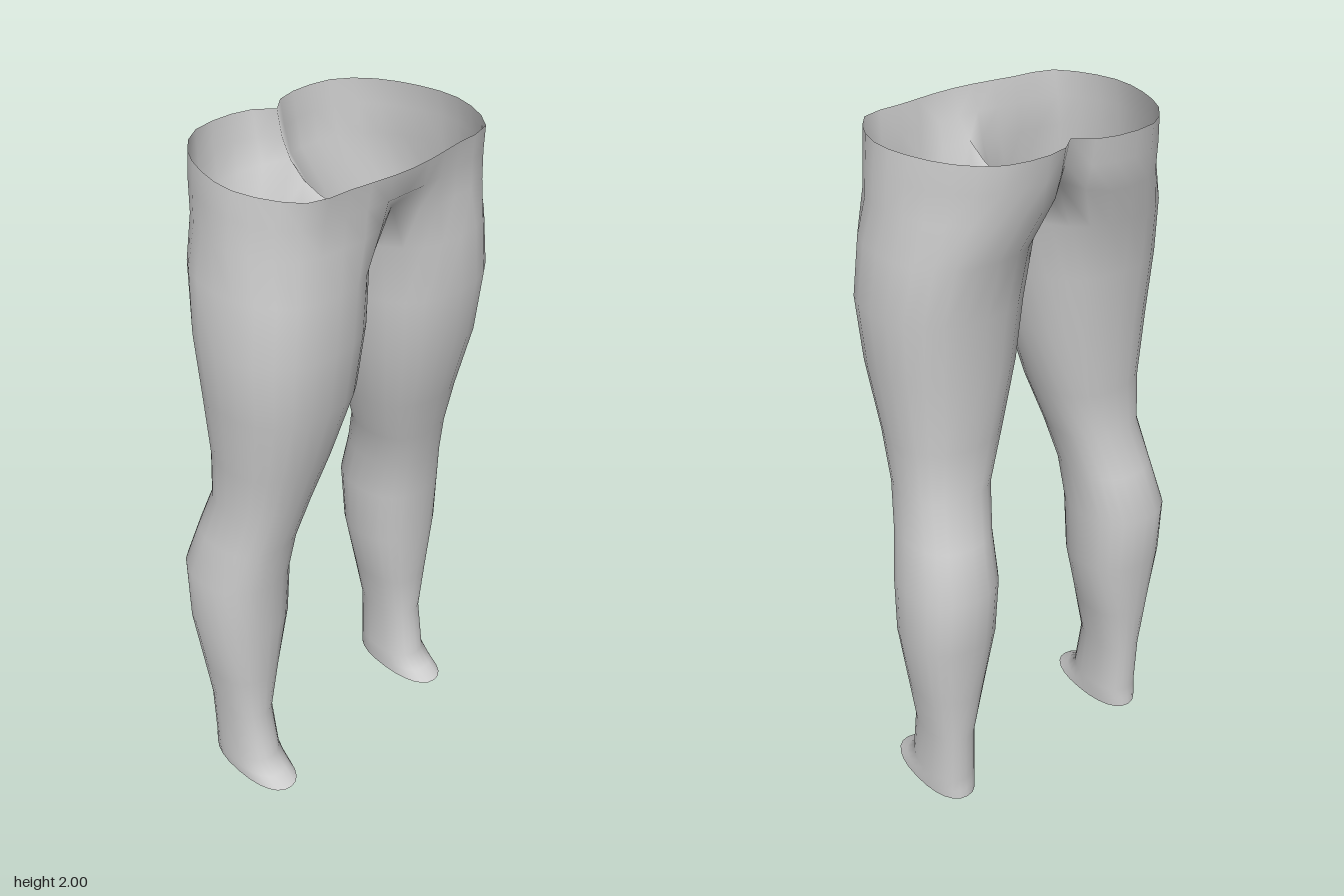
import * as THREE from 'three';
import { mergeGeometries, mergeVertices } from 'three/addons/utils/BufferGeometryUtils.js';

const STEPS = 24;      // points round each leg
const SEAM = 6;        // points 0..6 lie on the inner side, joined at the crotch

// Leg sections from the ground up: y, inner x, outer x, back z, front z
const SECTIONS = [
  [0.00, 0.25, 0.40, -0.175, 0.145],
  [0.03, 0.25, 0.40, -0.172, 0.10],
  [0.07, 0.25, 0.397, -0.168, 0.06],
  [0.24, 0.255, 0.395, -0.175, 0.035],
  [0.40, 0.22, 0.418, -0.19, 0.045],
  [0.60, 0.177, 0.446, -0.21, 0.06],
  [0.78, 0.172, 0.443, -0.225, 0.072],
  [0.92, 0.165, 0.415, -0.182, 0.095],
  [1.05, 0.135, 0.395, -0.138, 0.125],
  [1.20, 0.085, 0.40, -0.138, 0.165],
  [1.40, 0.035, 0.42, -0.155, 0.22],
  [1.58, 0.015, 0.432, -0.172, 0.24],
  [1.74, 0.005, 0.413, -0.20, 0.24],
];

// Half of the waist outline, from the back centre round the hip to the front centre
const WAIST = new THREE.CatmullRomCurve3([
  [0, -0.205], [0.03, -0.235], [0.08, -0.255], [0.15, -0.26], [0.22, -0.25],
  [0.29, -0.2], [0.34, -0.12], [0.37, -0.02], [0.375, 0.05], [0.35, 0.14],
  [0.29, 0.225], [0.18, 0.24], [0.05, 0.258], [0, 0.26],
].map(([x, z]) => new THREE.Vector3(x, 0, z)));

// Crotch line between the legs, front to back: y, z
const CROTCH = [[1.84, 0.13], [1.82, 0.07], [1.815, 0.01], [1.82, -0.05], [1.84, -0.11]];

function legRow([y, inner, outer, back, front]) {
  const cx = (inner + outer) / 2, rx = (outer - inner) / 2;
  const cz = (back + front) / 2, rz = (front - back) / 2;
  const bend = (v) => Math.sign(v) * Math.abs(v) ** 0.88;
  return Array.from({ length: STEPS + 1 }, (_, i) => {
    const a = (135 + 15 * (i % STEPS)) * Math.PI / 180;
    return [cx + rx * bend(Math.cos(a)), y, cz + rz * bend(Math.sin(a))];
  });
}

// Hip row; the centre is drawn in by frontPull and backPull and raised by lift
function hipRow(y, wide, backScale, frontScale, backPull, frontPull, lift) {
  const arc = WAIST.getSpacedPoints(STEPS - SEAM).map(({ x, z }) => {
    const near = Math.max(0, 1 - x / 0.14) ** 2;
    return [x * wide, y + lift * near,
      z < 0 ? z * backScale + backPull * near : z * frontScale - frontPull * near];
  });
  return [...Array(SEAM).fill(arc[0]), ...arc];
}

function halfGeometry(mirror) {
  const rows = SECTIONS.map(legRow);
  // Row where both legs meet, closed by the crotch line
  const seam = hipRow(1.85, 1.05, 0.92, 0.945, 0.03, 0.05, 0.03);
  seam[0] = seam[STEPS];
  CROTCH.forEach(([y, z], i) => { seam[i + 1] = [0, y, z]; });
  rows.push(seam);
  const firstOpen = rows.length - 1;
  rows.push(hipRow(1.93, 1.03, 0.965, 0.955, 0.01, 0.005, 0));
  rows.push(hipRow(2, 1, 1, 1, 0, 0, 0));

  const sign = mirror ? -1 : 1;
  const positions = rows.flat().flatMap(([x, y, z]) => [x * sign, y, z]);
  const index = [];
  const face = (a, b, c) => index.push(...(mirror ? [a, c, b] : [a, b, c]));
  for (let r = 0; r < rows.length - 1; r++) {
    for (let i = r >= firstOpen ? SEAM : 0; i < STEPS; i++) {
      const a = r * (STEPS + 1) + i, up = a + STEPS + 1;
      face(a, up, a + 1);
      face(a + 1, up, up + 1);
    }
  }
  const geometry = new THREE.BufferGeometry();
  geometry.setAttribute('position', new THREE.Float32BufferAttribute(positions, 3));
  geometry.setIndex(index);
  return geometry;
}

export function createModel() {
  const grey = new THREE.MeshStandardMaterial({ color: 0xcccccc, side: THREE.DoubleSide });
  grey.name = 'light grey';

  // Both halves are welded so the centre line shades smoothly
  const geometry = mergeVertices(mergeGeometries([halfGeometry(false), halfGeometry(true)]), 1e-4);
  geometry.computeVertexNormals();

  const legs = new THREE.Mesh(geometry, grey);
  legs.name = 'hipsAndLegs';
  const model = new THREE.Group();
  model.name = 'lowerBody';
  model.add(legs);
  return model;
}
